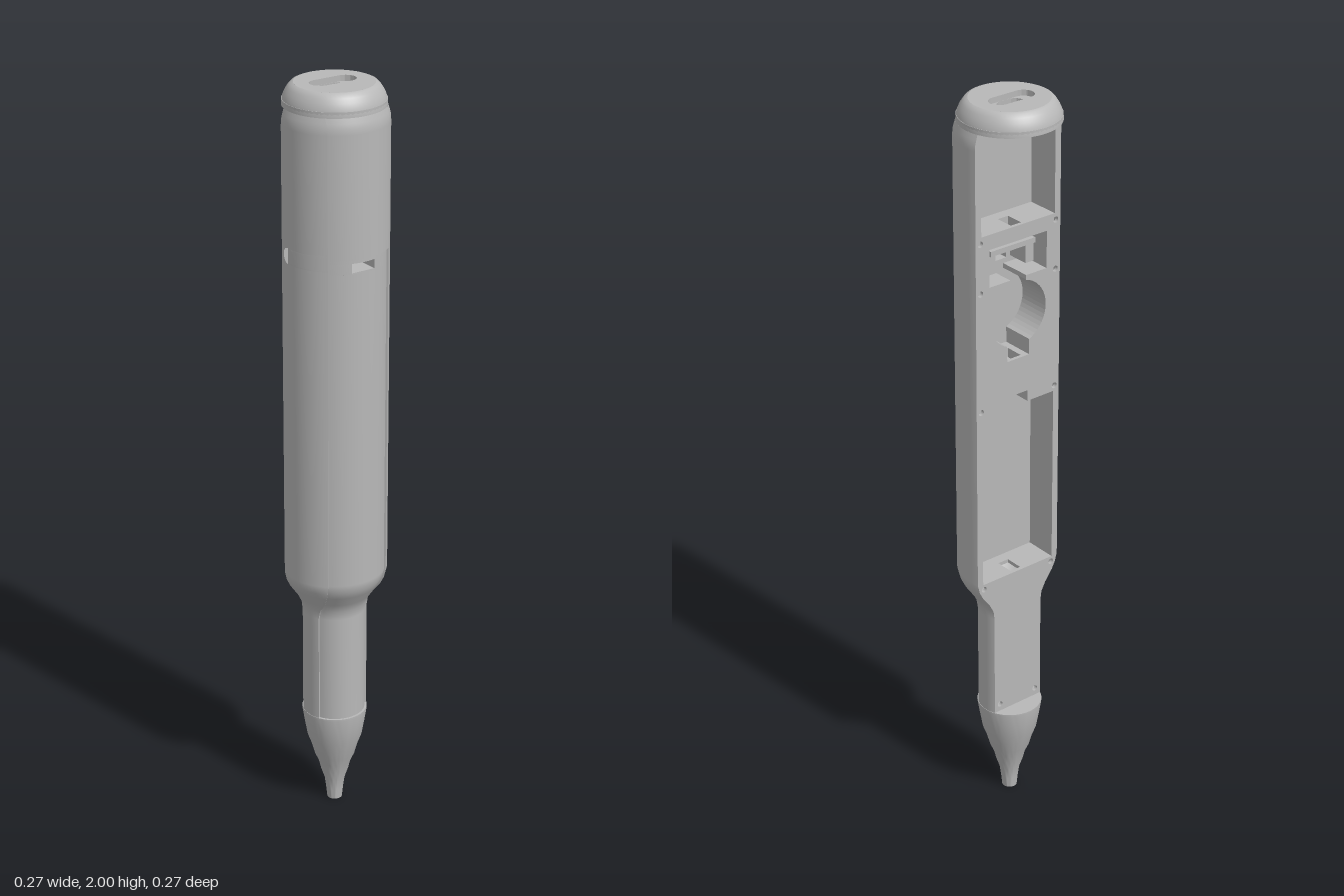
import * as THREE from 'three';
import { toCreasedNormals } from 'three/addons/utils/BufferGeometryUtils.js';
import { ParametricGeometry } from 'three/addons/geometries/ParametricGeometry.js';

const AXIS_Z = -0.006, CUT = 0.034, STEP = 0.005, PANEL_TOP = 1.59;
// Outer radius of the casing by height
const PROFILE = [[0.28, 0.085], [0.58, 0.085], [0.605, 0.088], [0.63, 0.1], [0.66, 0.121], [0.68, 0.131],
  [0.705, 0.137], [1.905, 0.137], [1.92, 0.136], [1.932, 0.133], [1.945, 0.129]];

function radius(y) {
  for (let i = 1; i < PROFILE.length; i++) {
    const [ya, ra] = PROFILE[i - 1], [yb, rb] = PROFILE[i];
    if (y <= yb) return ra + (rb - ra) * (y - ya) / (yb - ya);
  }
  return 0.129;
}

export function createModel() {
  const model = new THREE.Group();
  const grey = new THREE.MeshStandardMaterial({ color: 0xb8b8b8, side: THREE.DoubleSide });
  grey.name = 'grey plastic';
  const add = (name, geo, x = 0, y = 0, z = 0) => {
    const mesh = new THREE.Mesh(geo, grey);
    mesh.name = name;
    mesh.position.set(x, y, z);
    model.add(mesh);
    return mesh;
  };

  // Curved casing strip between two angles, each a function of height
  function strip(name, a0, a1, y0, y1, dr0 = 0, dr1 = 0, seg = 12, extraRows = 0) {
    const ys = [y0, ...PROFILE.map(p => p[0]).filter(y => y > y0 + 1e-6 && y < y1 - 1e-6), y1];
    for (let i = 1; i <= extraRows; i++) ys.push(y0 + (y1 - y0) * i / (extraRows + 1));
    ys.sort((a, b) => a - b);
    const n = ys.length - 1;
    const geo = new ParametricGeometry((u, v, out) => {
      const i = Math.min(n - 1, Math.floor(v * n + 1e-9));
      const y = ys[i] + (ys[i + 1] - ys[i]) * (v * n - i);
      const a = a0(y) + (a1(y) - a0(y)) * u;
      const r = radius(y) - dr0 - (dr1 - dr0) * u;
      out.set(r * Math.sin(a), y, r * Math.cos(a));
    }, seg, n);
    geo.computeVertexNormals();
    add(name, geo, 0, 0, AXIS_Z);
  }
  const cut = y => Math.PI / 2 + Math.asin(CUT / radius(y));
  const panel = y => Math.asin((radius(y) < 0.1 ? 0.076 : 0.09 - 0.014 * Math.max(0, (0.137 - radius(y)) / 0.037) * (y < 1)) / radius(y));
  const neg = f => y => -f(y);

  // Casing: sides, upper front and the slightly sunken front panel
  const BOT = 0.28, TOP = 1.945, SLOT = [1.553, 1.58], slotA = () => Math.asin(0.035 / 0.132);
  strip('casingSide', panel, cut, BOT, TOP, 0, 0, 14);
  strip('casingFront', neg(panel), panel, PANEL_TOP, TOP, 0, 0, 20);
  strip('frontPanel', neg(panel), panel, BOT, SLOT[0], STEP, STEP, 20);
  strip('frontPanelTop', neg(panel), panel, SLOT[1], PANEL_TOP, STEP, STEP, 20);
  strip('slotSide', neg(panel), neg(slotA), ...SLOT, STEP, STEP, 6);
  strip('slotSide', slotA, panel, ...SLOT, STEP, STEP, 6);
  for (const p of [panel, neg(panel)]) strip('panelEdge', p, p, BOT, PANEL_TOP, STEP, 0, 1);
  const pA = panel(PANEL_TOP);
  add('panelLedge', new THREE.RingGeometry(0.132, 0.137, 20, 1, Math.PI / 2 - pA, 2 * pA).rotateX(Math.PI / 2), 0, PANEL_TOP, AXIS_Z);

  // Other side of the casing, with a round hole
  const HY = 1.583, HR = 0.021;
  const hole = s => y => -Math.PI / 2 + s * Math.sqrt(Math.max(0, HR * HR - (y - HY) ** 2)) / 0.137;
  strip('casingSide', neg(cut), neg(panel), BOT, HY - HR, 0, 0, 14);
  strip('casingSide', neg(cut), neg(panel), HY + HR, TOP, 0, 0, 14);
  strip('holeSide', neg(cut), hole(-1), HY - HR, HY + HR, 0, 0, 6, 15);
  strip('holeSide', hole(1), neg(panel), HY - HR, HY + HR, 0, 0, 8, 15);

  // One half of the inner frame, seen from the back, with its pockets cut out
  function halfFrame(s, w, outer) {
    const top = outer[outer.length - 1][1] - 0.002, pts = [[w, outer[0][1]], ...outer];
    pts.push([0.115, top + 0.002], [0.115, 1.68], [w, 1.68], [w, 1.64], [0.09, 1.64], [0.09, 1.54], [0.025, 1.54]);
    const R = 0.088, a0 = Math.acos(0.025 / R), a1 = -Math.acos(0.035 / R);
    for (let i = 0; i <= 20; i++) {
      const a = a0 + (a1 - a0) * i / 20;
      pts.push([R * Math.cos(a), 1.443 + R * Math.sin(a)]);
    }
    pts.push([0.035, 1.32], [w, 1.32], [w, 1.22], [0.03, 1.22], [0.03, 1.19], [0.115, 1.19], [0.115, 0.7], [w, 0.7]);
    return new THREE.Shape(pts.map(([x, y]) => new THREE.Vector2(s * x, y)));
  }
  const extrude = (shape, depth) => new THREE.ExtrudeGeometry(shape, { depth, bevelEnabled: false, curveSegments: 20 });
  const rim = PROFILE.map(([y, r]) => [Math.sqrt(r * r - CUT * CUT), y]);
  const inner = [[0.121, 0.69], [0.121, 1.925]];
  for (const s of [-1, 1]) {
    const plate = halfFrame(s, 0, rim);
    for (const [x, y] of [[0.118, 1.692], [0.118, 1.53], [0.118, 1.205], [0.112, 0.685], [0.06, 0.305]]) {
      if (y === 1.692) continue;
      plate.holes.push(new THREE.Path().absarc(s * x, y, 0.008, 0, Math.PI * 2, true));
    }
    plate.holes.push(new THREE.Path().absarc(s * 0.118, 1.662, 0.008, 0, Math.PI * 2, true));
    add('backPlate', extrude(plate, 0.01), 0, 0, -0.04);
    add('channelFrame', extrude(halfFrame(s, 0.016, inner), 0.05), 0, 0, -0.03);
    add('frontFrame', extrude(halfFrame(s, 0, inner), 0.03), 0, 0, 0.02);
  }

  // Pocket floor and the slot's frame
  const rect = (x, y0, y1, C = THREE.Shape) =>
    new C([[-x, y0], [x, y0], [x, y1], [-x, y1]].map(p => new THREE.Vector2(...p)));
  const withSlot = shape => {
    shape.holes.push(rect(0.035, ...SLOT, THREE.Path));
    return shape;
  };
  add('pocketFloor', extrude(withSlot(rect(0.118, 0.692, 1.93)), 0.005), 0, 0, 0.05);
  add('slotFrame', extrude(withSlot(rect(0.045, 1.545, 1.588)), 0.06), 0, 0, 0.055);

  // Switch seat inside the small pocket
  add('switchBar', new THREE.BoxGeometry(0.14, 0.014, 0.05), 0, 1.615, 0.005);
  for (const s of [-1, 1]) add('switchPost', new THREE.BoxGeometry(0.025, 0.05, 0.06), s * 0.06, 1.58, 0.02);

  // Cap: domed rim around a stepped, slotted plug
  const lathe = pts => toCreasedNormals(new THREE.LatheGeometry(pts.map(p => new THREE.Vector2(...p)), 64), 0.6);
  add('capRim', lathe([[0.129, 1.945], [0.1285, 1.955], [0.126, 1.966], [0.121, 1.978], [0.114, 1.989], [0.107, 1.997], [0.1, 2]]), 0, 0, AXIS_Z);
  const stadium = (len, r, z) => {
    const p = new THREE.Path();
    p.absarc(len - r, -z, r, -Math.PI / 2, Math.PI / 2, false);
    p.absarc(r - len, -z, r, Math.PI / 2, Math.PI * 1.5, false);
    p.closePath();
    return p;
  };
  const round = r => new THREE.Path().absarc(0, 0, r, 0, Math.PI * 2, true);
  const layers = [
    [1.985, 0.015, 0.1, stadium(0.064, 0.027, -0.007)],
    [1.973, 0.012, 0.1, stadium(0.038, 0.0265, -0.007)],
    [1.96, 0.013, 0.1, round(0.025)],
    [1.945, 0.015, 0.1285, round(0.0155)],
  ];
  for (const [y, h, r, cutout] of layers) {
    const disc = new THREE.Shape().absarc(0, 0, r, 0, Math.PI * 2, false);
    disc.holes.push(cutout);
    add('capPlug', toCreasedNormals(new THREE.ExtrudeGeometry(disc, { depth: h, bevelEnabled: false, curveSegments: 48 })
      .rotateX(-Math.PI / 2), 0.5), 0, y, AXIS_Z);
  }

  // Hollow tip
  add('tip', lathe([[0.013, 0.284], [0.013, 0], [0.02, 0], [0.023, 0.03], [0.027, 0.06], [0.037, 0.09], [0.043, 0.115],
    [0.054, 0.14], [0.062, 0.17], [0.073, 0.2], [0.08, 0.24], [0.086, 0.278], [0.086, 0.284], [0.013, 0.284]]), 0, 0, AXIS_Z);

  return model;
}
